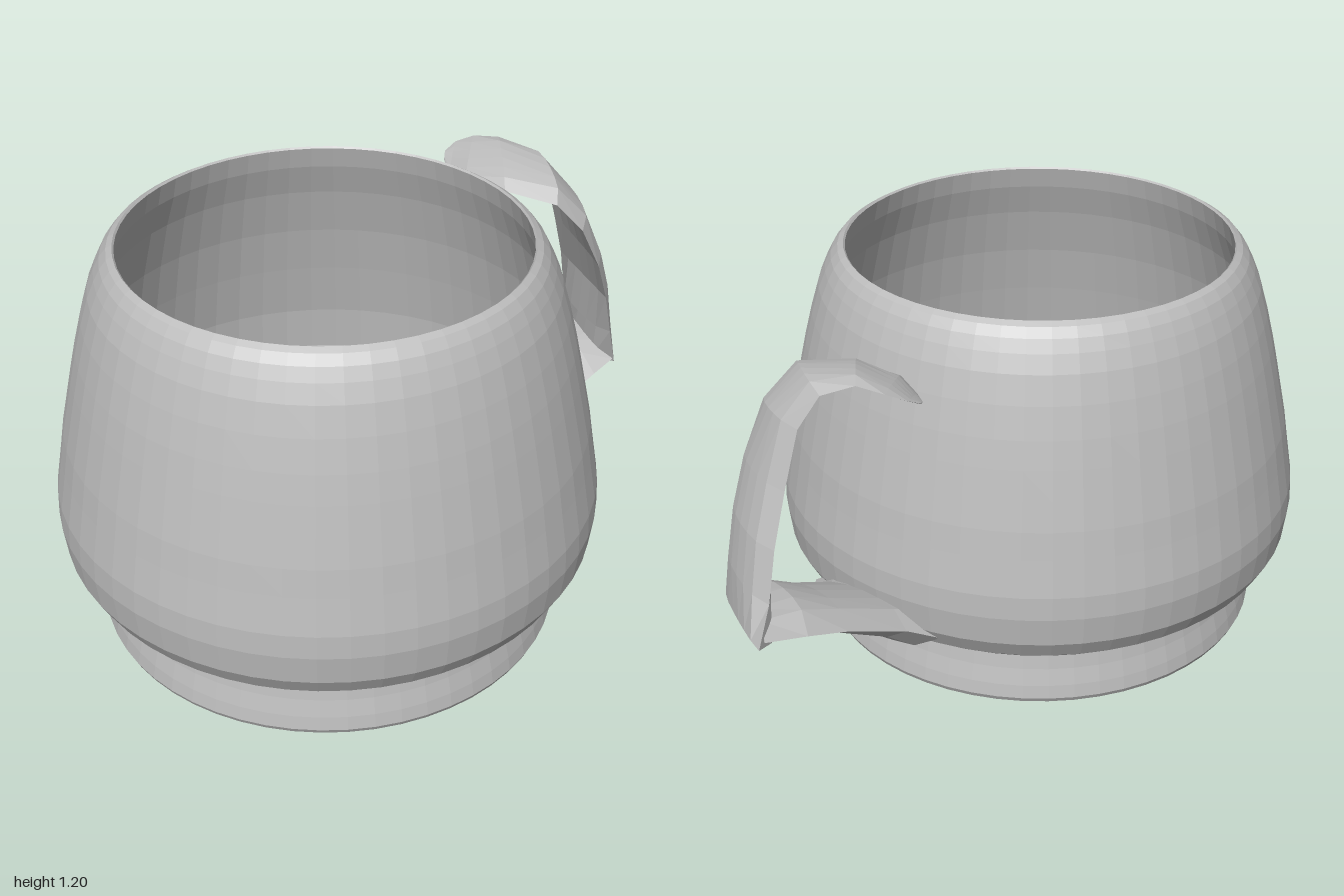
import * as THREE from 'three';

const V = (p) => new THREE.Vector3(...p);

// give every facet its own normal
function faceted(geometry) {
  const g = geometry.toNonIndexed();
  g.computeVertexNormals();
  return g;
}

// Loft through sections [edgeA, edgeB, outer bulge, inner bulge]
function loftBand(sections, n = 6) {
  const mids = sections.map(([a, b]) => V(a).add(V(b)).multiplyScalar(0.5));
  const ring = 2 * n;
  const pos = [];
  const index = [];
  sections.forEach(([a, b, outer, inner], i) => {
    const last = sections.length - 1;
    const along = mids[Math.min(i + 1, last)].clone().sub(mids[Math.max(i - 1, 0)]);
    const across = V(b).sub(V(a));
    const out = along.cross(across).normalize();
    for (let j = 0; j < ring; j++) {
      const onOuter = j <= n;
      const u = onOuter ? j / n : (ring - j) / n;
      const bulge = (onOuter ? outer : -inner) * Math.sqrt(4 * u * (1 - u));
      const p = V(a).lerp(V(b), u).addScaledVector(out, bulge);
      pos.push(p.x, p.y, p.z);
    }
  });
  for (let i = 0; i < sections.length - 1; i++) {
    for (let j = 0; j < ring; j++) {
      const a = i * ring + j, b = i * ring + (j + 1) % ring;
      index.push(a, a + ring, b, b, a + ring, b + ring);
    }
  }
  // close both ends
  const end = (sections.length - 1) * ring;
  for (let j = 1; j < ring - 1; j++) {
    index.push(0, j, j + 1);
    index.push(end, end + j + 1, end + j);
  }
  const g = new THREE.BufferGeometry();
  g.setAttribute('position', new THREE.Float32BufferAttribute(pos, 3));
  g.setIndex(index);
  return faceted(g);
}

export function createModel() {
  const group = new THREE.Group();
  const clay = new THREE.MeshStandardMaterial({ color: 0xbcbcbc });
  clay.name = 'grey clay';

  const add = (name, geometry) => {
    const mesh = new THREE.Mesh(geometry, clay);
    mesh.name = name;
    group.add(mesh);
    return mesh;
  };

  const turned = (profile) =>
    faceted(new THREE.LatheGeometry(profile.map(([r, y]) => new THREE.Vector2(r, y)), 56));

  // Domed underside, foot ring, rounded wall, rim and hollow inside
  const cup = add('cup', turned([
    [0, 0], [0.12, 0.004], [0.24, 0.015], [0.36, 0.035], [0.46, 0.067], [0.55, 0.105], [0.635, 0.155],
    [0.65, 0.04], [0.663, 0.035], [0.67, 0.05], [0.663, 0.09], [0.65, 0.14], [0.641, 0.19],
    [0.69, 0.218], [0.735, 0.253], [0.766, 0.31], [0.777, 0.4], [0.774, 0.47], [0.755, 0.58],
    [0.742, 0.66], [0.724, 0.745], [0.706, 0.83], [0.688, 0.91], [0.665, 1.0], [0.641, 1.08],
    [0.62, 1.13], [0.602, 1.165], [0.582, 1.19], [0.565, 1.2], [0.56, 1.195],
    [0.575, 1.13], [0.61, 1.03], [0.65, 0.88], [0.68, 0.73], [0.71, 0.56], [0.72, 0.42],
    [0.69, 0.29], [0.62, 0.21], [0, 0.2],
  ]));
  cup.position.z = 0.215;

  // Lower arm: rises from the foot of the wall out to the corner
  add('handleArm', loftBand([
    [[-0.02, 0.28, -0.53], [0.45, 0.27, -0.4], 0.07, 0.07],
    [[0.05, 0.33, -0.6], [0.41, 0.3, -0.49], 0.05, 0.06],
    [[0.14, 0.41, -0.76], [0.45, 0.36, -0.61], 0.03, 0.06],
    [[0.2, 0.45, -0.87], [0.49, 0.4, -0.68], 0.02, 0.07],
    [[0.27, 0.475, -0.97], [0.525, 0.43, -0.745], 0.005, 0.05],
  ]));

  // Grip: twisted band from the pointed corner up to a curled leaf tip
  add('handleGrip', loftBand([
    [[0.27, 0.47, -1.0], [0.53, 0.42, -0.75], 0.01, 0.07],
    [[0.28, 0.56, -0.92], [0.52, 0.55, -0.71], 0.04, 0.03],
    [[0.28, 0.7, -0.875], [0.51, 0.69, -0.67], 0.045, 0.0],
    [[0.27, 0.85, -0.82], [0.495, 0.82, -0.62], 0.045, -0.005],
    [[0.25, 1.01, -0.77], [0.455, 0.96, -0.56], 0.045, -0.01],
    [[0.2, 1.1, -0.735], [0.385, 1.05, -0.515], 0.04, -0.01],
    [[0.11, 1.135, -0.71], [0.23, 1.075, -0.485], 0.025, -0.005],
    [[0.03, 1.125, -0.705], [0.1, 1.06, -0.485], 0.01, 0.005],
    [[-0.02, 1.105, -0.68], [0.02, 1.055, -0.55], 0.004, 0.006],
    [[-0.038, 1.085, -0.645], [-0.025, 1.07, -0.61], 0.002, 0.003],
  ]));

  return group;
}
